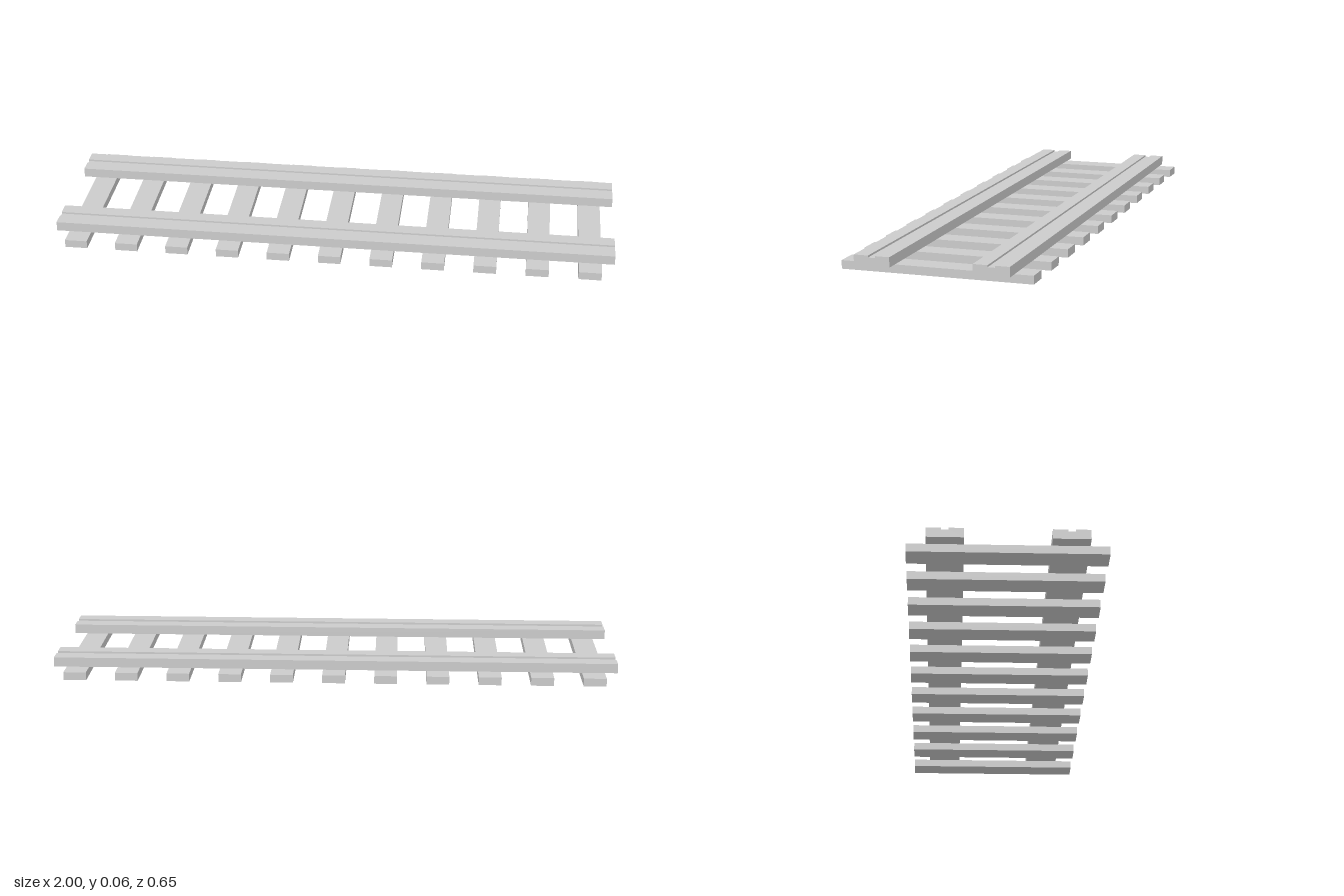
import * as THREE from 'three';

export function createModel() {
  const track = new THREE.Group();
  track.name = 'railwayTrack';
  const material = new THREE.MeshStandardMaterial({ color: 0xcccccc, flatShading: true });

  const sleeperCount = 11, sleeperSpacing = 0.183, sleeperHeight = 0.0285;
  const railLength = 2, railOffset = 0.201;

  // Sleepers: evenly spaced cross planks
  const sleeperGeometry = new THREE.BoxGeometry(0.08, sleeperHeight, 0.65);
  for (let i = 0; i < sleeperCount; i++) {
    const sleeper = new THREE.Mesh(sleeperGeometry, material);
    sleeper.name = `sleeper${i + 1}`;
    sleeper.position.set((i - (sleeperCount - 1) / 2) * sleeperSpacing, sleeperHeight / 2, 0);
    track.add(sleeper);
  }

  // Rails: a flat bar with a shallow groove along its top
  const half = 0.061, groove = 0.012, height = 0.034, grooveFloor = 0.0275;
  const profile = new THREE.Shape([
    [-half, 0], [half, 0], [half, height], [groove, height],
    [groove, grooveFloor], [-groove, grooveFloor], [-groove, height], [-half, height],
  ].map(([x, y]) => new THREE.Vector2(x, y)));
  const railGeometry = new THREE.ExtrudeGeometry(profile, { depth: railLength, bevelEnabled: false });
  railGeometry.translate(0, 0, -railLength / 2);
  railGeometry.rotateY(Math.PI / 2);

  for (const side of [1, -1]) {
    const rail = new THREE.Mesh(railGeometry, material);
    rail.name = side > 0 ? 'frontRail' : 'backRail';
    rail.position.set(0, sleeperHeight, side * railOffset);
    track.add(rail);
  }

  return track;
}
